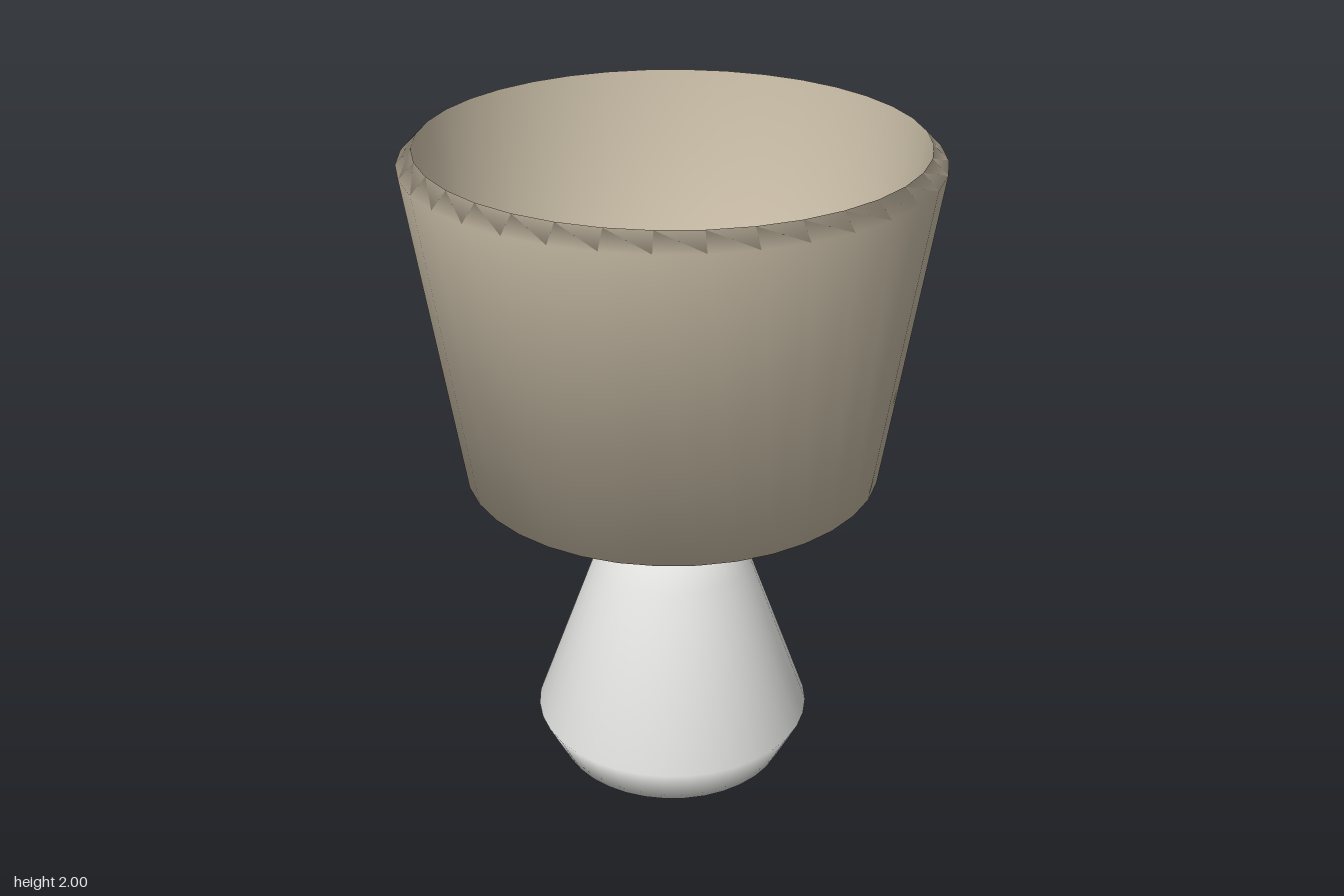
import * as THREE from 'three';

const material = (name, color) => {
  const m = new THREE.MeshStandardMaterial({ color });
  m.name = name;
  return m;
};

export function createModel() {
  const linen = material('beige', 0xc8bca6);
  const ceramic = material('offWhite', 0xe2e2e0);
  const brass = material('brass', 0xb8924e);

  const lamp = new THREE.Group();
  lamp.name = 'lamp';

  const add = (name, geometry, mat, y = 0) => {
    const mesh = new THREE.Mesh(geometry, mat);
    mesh.name = name;
    mesh.position.y = y;
    lamp.add(mesh);
  };
  const lathe = (profile, sides) =>
    new THREE.LatheGeometry(profile.map(([r, y]) => new THREE.Vector2(r, y)), sides);

  // Tapered base with a wide waist and chamfered shoulder
  add('base', lathe([
    [0, 0], [0.36, 0], [0.43, 0.14], [0.24, 0.67], [0.15, 0.765], [0, 0.765],
  ], 36), ceramic);

  // Stem running from the base into the bulb
  add('stem', new THREE.CylinderGeometry(0.036, 0.036, 0.44, 12), brass, 0.96);

  // Open-topped shade: closed floor, outer wall, rim, inner wall
  add('shade', lathe([
    [0, 1], [0.62, 1], [0.762, 1.955], [0.717, 2], [0.575, 1.05], [0, 1.05],
  ], 36), linen);

  // Bulb inside the shade
  add('bulb', new THREE.SphereGeometry(0.105, 12, 10), linen, 1.2);

  return lamp;
}
